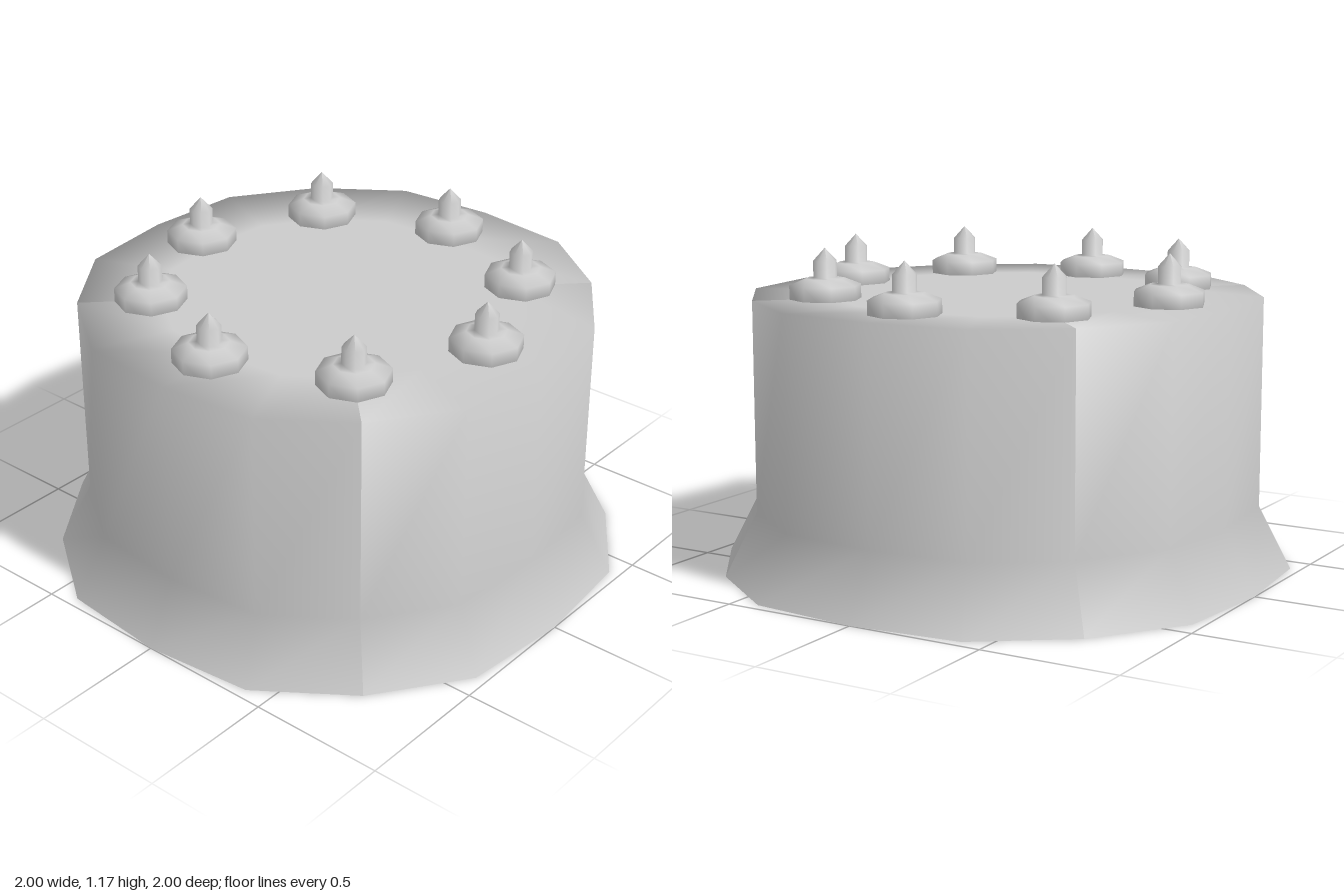
import * as THREE from 'three';

const shellMat = new THREE.MeshStandardMaterial({ color: 0xcccccc, side: THREE.DoubleSide });
const studMat = new THREE.MeshStandardMaterial({ color: 0xcccccc });

// One quarter of the rounded 16-sided outline, scaled per ring
const OUTLINE = [[0.73, 0.73], [0.408, 0.96], [0, 1], [-0.408, 0.96], [-0.73, 0.73]];
// [scale, height] from the flared foot up over the rim to the middle of the top
const RINGS = [[1, 0], [0.887, 0.23], [0.887, 0.99], [0.6, 0.99], [0, 0.99]];

// Smooth quarter of the open-bottomed drum, creased where quarters meet
function quarterShell() {
  const positions = [], index = [];
  const n = OUTLINE.length;
  for (const [s, y] of RINGS) {
    for (const [x, z] of OUTLINE) positions.push(x * s, y, z * s);
  }
  for (let r = 0; r < RINGS.length - 1; r++) {
    for (let i = 0; i < n - 1; i++) {
      const a = r * n + i, b = a + 1, c = a + n, d = c + 1;
      index.push(a, c, b);
      if (r < RINGS.length - 2) index.push(b, c, d);
    }
  }
  const geo = new THREE.BufferGeometry();
  geo.setAttribute('position', new THREE.Float32BufferAttribute(positions, 3));
  geo.setIndex(index);
  geo.computeVertexNormals();
  return geo;
}

// Eight-sided stud: washer, domed shoulder, thin stem and pointed tip
function studGeometry() {
  const profile = [
    [0, 0.94], [0.128, 0.94], [0.128, 1.04], [0.07, 1.063],
    [0.042, 1.066], [0.042, 1.125], [0, 1.17],
  ].map(([r, y]) => new THREE.Vector2(r, y));
  return new THREE.LatheGeometry(profile, 8);
}

export function createModel() {
  const model = new THREE.Group();
  model.name = 'studdedCap';

  const drum = new THREE.Group();
  drum.name = 'flaredDrum';
  const quarter = quarterShell();
  for (let i = 0; i < 4; i++) {
    const mesh = new THREE.Mesh(quarter, shellMat);
    mesh.name = 'drumQuarter';
    mesh.rotation.y = i * Math.PI / 2;
    drum.add(mesh);
  }
  model.add(drum);

  // Ring of eight studs on the top
  const studs = new THREE.Group();
  studs.name = 'studs';
  const stud = studGeometry();
  for (let i = 0; i < 8; i++) {
    const angle = i * Math.PI / 4;
    const mesh = new THREE.Mesh(stud, studMat);
    mesh.name = 'stud';
    mesh.position.set(0.656 * Math.sin(angle), 0, 0.656 * Math.cos(angle));
    studs.add(mesh);
  }
  model.add(studs);
  return model;
}
